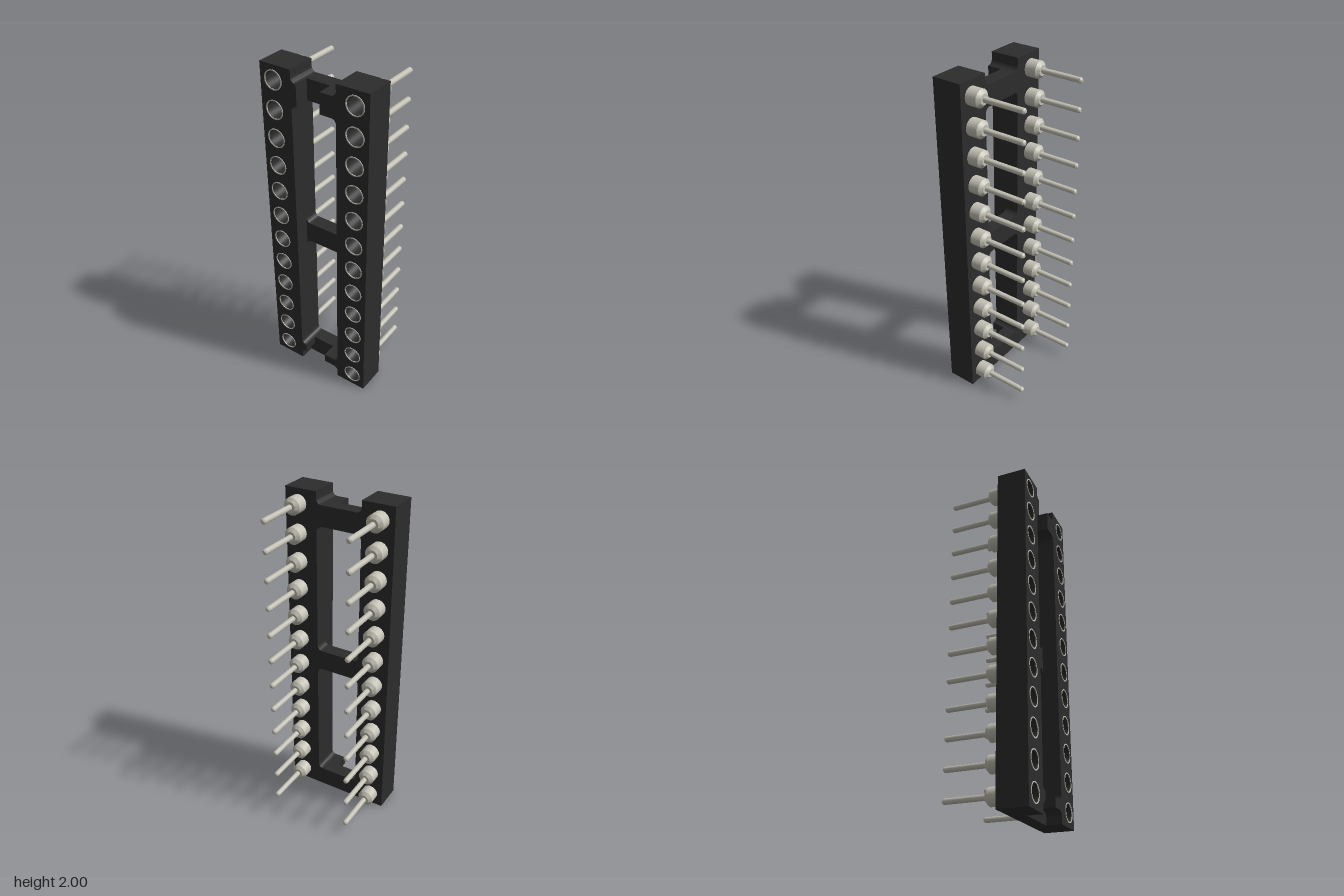
import * as THREE from 'three';
import { toCreasedNormals } from 'three/addons/utils/BufferGeometryUtils.js';

const BACK = 0.077, STEP = 0.163, FRONT = 0.252; // depths of the plastic frame
const INNER = 0.138, OUTER = 0.333;              // rail sides
const PIN_X = 0.25, PINS = 12, PITCH = 2 / PINS;
const FILLET = 0.03;

export function createModel() {
  const plastic = new THREE.MeshStandardMaterial({ color: 0x2c2c2d });
  plastic.name = 'black plastic';
  const metal = new THREE.MeshStandardMaterial({ color: 0xc3c1b4 });
  metal.name = 'tinned metal';

  const model = new THREE.Group();
  model.name = 'pinSocket';

  const add = (parent, name, geometry, material) => {
    const mesh = new THREE.Mesh(geometry, material);
    mesh.name = name;
    parent.add(mesh);
    return mesh;
  };
  const extrude = (shape, z0, z1) => {
    const g = new THREE.ExtrudeGeometry(shape, { depth: z1 - z0, bevelEnabled: false, curveSegments: 12 });
    g.translate(0, 0, z0);
    return toCreasedNormals(g, 0.6);
  };
  // Surface of revolution about z; points are [radius, z]
  const turn = (points) => {
    const g = new THREE.LatheGeometry(points.map(([r, z]) => new THREE.Vector2(r, z)), 24);
    g.rotateX(Math.PI / 2);
    return toCreasedNormals(g, 0.5);
  };

  // Rails with a row of round holes
  for (const side of [-1, 1]) {
    const x0 = side < 0 ? -OUTER : INNER, x1 = side < 0 ? -INNER : OUTER;
    const shape = new THREE.Shape([[x0, 0], [x1, 0], [x1, 2], [x0, 2]].map(p => new THREE.Vector2(...p)));
    for (let i = 0; i < PINS; i++) {
      const hole = new THREE.Path();
      hole.absarc(side * PIN_X, (i + 0.5) * PITCH, 0.05, 0, Math.PI * 2, true);
      shape.holes.push(hole);
    }
    add(model, side < 0 ? 'rightRail' : 'leftRail', extrude(shape, BACK, FRONT), plastic);
  }

  // Crossbar or block whose ends flare into the rails; bottom, top are fillet radii
  const bar = (name, x0, x1, y0, y1, z0, z1, bottom, top) => {
    const left = x0 === -INNER, right = x1 === INNER;
    const s = new THREE.Shape();
    const lb = left ? bottom : 0, rb = right ? bottom : 0;
    const lt = left ? top : 0, rt = right ? top : 0;
    s.moveTo(x0 + lb, y0);
    s.lineTo(x1 - rb, y0);
    if (rb) s.absarc(x1 - rb, y0 - rb, rb, Math.PI / 2, 0, true);
    s.lineTo(x1, y1 + rt);
    if (rt) s.absarc(x1 - rt, y1 + rt, rt, 0, -Math.PI / 2, true);
    s.lineTo(x0 + lt, y1);
    if (lt) s.absarc(x0 + lt, y1 + lt, lt, -Math.PI / 2, -Math.PI, true);
    s.lineTo(x0, y0 - lb);
    if (lb) s.absarc(x0 + lb, y0 - lb, lb, Math.PI, Math.PI / 2, true);
    add(model, name, extrude(s, z0, z1), plastic);
  };
  bar('topBar', -INNER, INNER, 1.81, 1.93, BACK, STEP, FILLET, FILLET);
  bar('middleBar', -INNER, INNER, 0.905, 1.03, BACK, STEP, FILLET, FILLET);
  bar('bottomBar', -INNER, INNER, 0, 0.125, BACK, STEP, 0, FILLET);

  // Raised blocks beside the shallow end channels
  for (const [end, y0, y1] of [['top', 1.81, 1.93], ['bottom', 0.07, 0.125]]) {
    bar(end + 'RightBlock', -INNER, -0.105, y0, y1, STEP, FRONT, FILLET, FILLET);
    bar(end + 'LeftBlock', 0.04, INNER, y0, y1, STEP, FRONT, FILLET, FILLET);
  }

  // Turned pins: collar and leg behind, cup inside the hole, rim in front
  const leg = turn([[0, -0.258], [0.009, -0.258], [0.016, -0.25], [0.016, -0.008],
    [0.03, -0.008], [0.05, 0.01], [0.05, 0.08]]);
  const cup = turn([[0.05, 0.125], [0.03, 0.09], [0.022, 0.09], [0.022, 0.03], [0, 0.02]]);
  const rim = turn([[0.056, 0.25], [0.056, 0.255], [0.05, 0.255], [0.05, 0.25]]);
  for (const side of [-1, 1]) {
    for (let i = 0; i < PINS; i++) {
      const pin = new THREE.Group();
      pin.name = (side < 0 ? 'rightPin' : 'leftPin') + (i + 1);
      pin.position.set(side * PIN_X, (i + 0.5) * PITCH, 0);
      add(pin, 'collarAndLeg', leg, metal);
      add(pin, 'contactCup', cup, metal);
      add(pin, 'rim', rim, metal);
      model.add(pin);
    }
  }
  return model;
}
